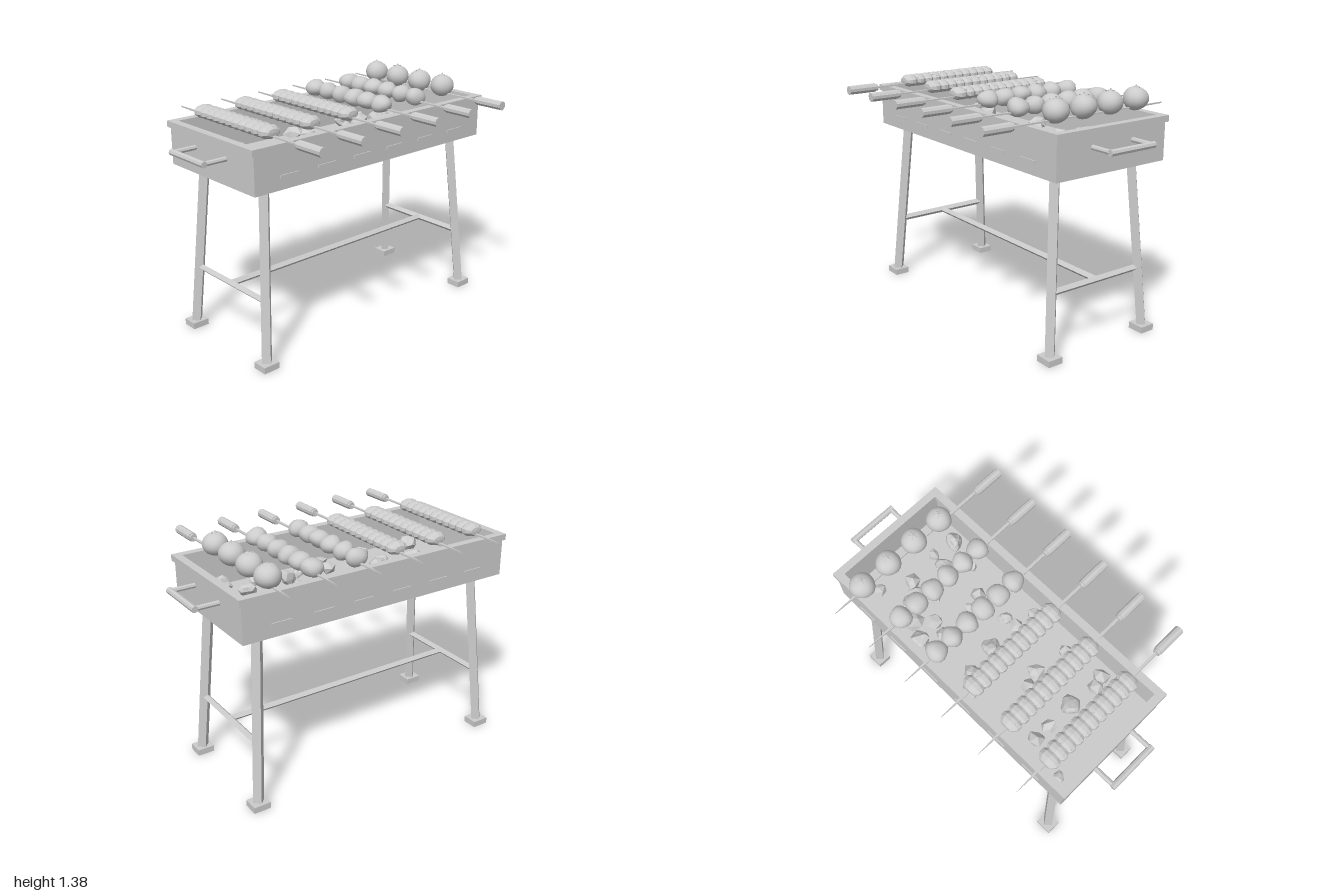
import * as THREE from 'three';
import { mergeVertices } from 'three/addons/utils/BufferGeometryUtils.js';

const smooth = new THREE.MeshStandardMaterial({ color: 0xcccccc });
const flat = new THREE.MeshStandardMaterial({ color: 0xcccccc, flatShading: true });
const thin = new THREE.MeshStandardMaterial({ color: 0xcccccc, flatShading: true, side: THREE.DoubleSide });
const ZC = -0.08; // depth of the grill's middle

let seed = 7;
const rnd = () => (seed = (seed * 16807) % 2147483647) / 2147483647;

function add(parent, name, geo, x, y, z, mat = flat) {
  const m = new THREE.Mesh(geo, mat);
  m.name = name;
  m.position.set(x, y, z);
  parent.add(m);
  return m;
}
const box = (p, name, w, h, d, x, y, z) => add(p, name, new THREE.BoxGeometry(w, h, d), x, y, z);

// straight bar with n sides between two points
function bar(parent, name, a, b, r, n) {
  const A = new THREE.Vector3(...a), B = new THREE.Vector3(...b);
  const m = add(parent, name, new THREE.CylinderGeometry(r, r, A.distanceTo(B), n), 0, 0, 0);
  m.position.copy(A).add(B).multiplyScalar(0.5);
  m.quaternion.setFromUnitVectors(new THREE.Vector3(0, 1, 0), B.sub(A).normalize());
  return m;
}

// unit ball pushed in and out by a wavy rule
function lump(detail, amount, phase) {
  let g = new THREE.IcosahedronGeometry(1, detail);
  g.deleteAttribute('normal');
  g.deleteAttribute('uv');
  g = mergeVertices(g);
  const p = g.attributes.position, v = new THREE.Vector3();
  for (let i = 0; i < p.count; i++) {
    v.fromBufferAttribute(p, i);
    const k = 1 + amount * Math.sin(3.1 * v.x + phase) * Math.cos(2.7 * v.y - 2 * phase)
      + amount * 0.7 * Math.sin(4.3 * v.z + 3 * phase);
    p.setXYZ(i, v.x * k, v.y * k, v.z * k);
  }
  g.computeVertexNormals();
  return g;
}

function makeTray() {
  const g = new THREE.Group();
  g.name = 'tray';
  box(g, 'trayFloor', 1.69, 0.02, 0.74, 0, 1.005, ZC);
  for (const s of [-1, 1]) {
    box(g, 'longWall', 1.69, 0.215, 0.02, 0, 1.1025, ZC + s * 0.36);
    box(g, 'endWall', 0.02, 0.215, 0.70, s * 0.835, 1.1025, ZC);
    // air vents along both long walls
    for (let i = 0; i < 6; i++) box(g, 'airVent', 0.12, 0.018, 0.012, (i - 2.5) * 0.25, 1.065, ZC + s * 0.37);
  }
  // rim frame
  const rim = new THREE.Shape([[-0.86, -0.38], [0.86, -0.38], [0.86, 0.38], [-0.86, 0.38]].map(c => new THREE.Vector2(...c)));
  rim.holes.push(new THREE.Path([[-0.815, -0.335], [-0.815, 0.335], [0.815, 0.335], [0.815, -0.335]].map(c => new THREE.Vector2(...c))));
  const r = add(g, 'rim', new THREE.ExtrudeGeometry(rim, { depth: 0.035, bevelEnabled: false }), 0, 1.205, ZC);
  r.rotation.x = -Math.PI / 2;
  return g;
}

function makeStand() {
  const g = new THREE.Group();
  g.name = 'stand';
  for (const s of [-1, 1]) {
    for (const t of [-1, 1]) {
      bar(g, 'leg', [s * 0.78, 0.02, ZC + t * 0.335], [s * 0.71, 1, ZC + t * 0.265], 0.034, 4);
      box(g, 'foot', 0.1, 0.036, 0.09, s * 0.78, 0.018, ZC + t * 0.335);
    }
    bar(g, 'sideBrace', [s * 0.753, 0.375, ZC - 0.3], [s * 0.753, 0.375, ZC + 0.3], 0.02, 4);
  }
  bar(g, 'longBrace', [-0.75, 0.375, ZC], [0.75, 0.375, ZC], 0.02, 4);
  return g;
}

function makeHandle(s) {
  const g = new THREE.Group();
  g.name = 'carryHandle';
  bar(g, 'grip', [s * 0.982, 1.14, ZC - 0.15], [s * 0.982, 1.14, ZC + 0.15], 0.018, 8);
  for (const t of [-1, 1]) bar(g, 'handleArm', [s * 0.84, 1.14, ZC + t * 0.137], [s * 0.982, 1.14, ZC + t * 0.137], 0.014, 8);
  return g;
}

// flat pointed rod with a wooden grip; local origin lies on the rod
function makeSkewer(x) {
  const g = new THREE.Group();
  g.name = 'skewer';
  g.position.set(x, 1.26, 0);
  const blade = new THREE.Shape([[-0.008, -0.44], [0.008, -0.44], [0.008, 0.44], [0, 0.605], [-0.008, 0.44]].map(c => new THREE.Vector2(...c)));
  const b = add(g, 'skewerBlade', new THREE.ExtrudeGeometry(blade, { depth: 0.008, bevelEnabled: false }), 0, -0.004, 0);
  b.rotation.x = -Math.PI / 2;
  bar(g, 'skewerGrip', [0, 0, 0.435], [0, 0, 0.605], 0.026, 10);
  bar(g, 'gripCollar', [0, 0, 0.42], [0, 0, 0.437], 0.021, 10);
  return g;
}

// ridged, flattened minced-meat roll
function addKebab(g) {
  const pts = [new THREE.Vector2(0, -0.325), new THREE.Vector2(0.035, -0.322)];
  const n = 11, step = 0.62 / n;
  for (let i = 0; i < n; i++) {
    const y = -0.31 + i * step;
    pts.push(new THREE.Vector2(0.05, y), new THREE.Vector2(0.062, y + step * 0.3), new THREE.Vector2(0.062, y + step * 0.7));
  }
  pts.push(new THREE.Vector2(0.05, 0.31), new THREE.Vector2(0.035, 0.322), new THREE.Vector2(0, 0.325));
  const m = add(g, 'kebab', new THREE.LatheGeometry(pts, 10), 0, 0.018, -0.09);
  m.rotation.x = Math.PI / 2;
  m.scale.z = 0.6;
  // herb flecks
  for (let i = 0; i < 24; i++) {
    const a = 0.3 + rnd() * 2.5;
    add(g, 'herbFleck', new THREE.TetrahedronGeometry(0.005), 0.059 * Math.cos(a), 0.018 + 0.035 * Math.sin(a), -0.09 + (rnd() - 0.5) * 0.6);
  }
}

function addMeat(g, phase) {
  for (let i = 0; i < 6; i++) {
    const m = add(g, 'meatChunk', lump(2, 0.07, i * 1.7 + phase), 0, 0.023, -0.38 + i * 0.112, smooth);
    m.scale.set(0.062, 0.05, 0.058);
    m.rotation.z = (rnd() - 0.5) * 0.5;
  }
}

function addTomatoes(g) {
  for (let i = 0; i < 4; i++) {
    const z = 0.15 - i * 0.185;
    const m = add(g, 'tomato', lump(3, 0.025, i * 2.1), 0, 0.045, z, smooth);
    m.scale.set(0.07, 0.064, 0.07);
    // star of leaves with a stalk
    for (let k = 0; k < 5; k++) {
      const leaf = new THREE.Group();
      leaf.name = 'leaf';
      leaf.position.set(0, 0.11, z);
      leaf.rotation.y = k * Math.PI * 0.4 + i;
      const blade = add(leaf, 'leafBlade', new THREE.ConeGeometry(0.008, 0.04, 4), 0.018, -0.003, 0, thin);
      blade.rotation.z = -Math.PI / 2 - 0.2;
      blade.scale.x = 0.5;
      g.add(leaf);
    }
    add(g, 'stalk', new THREE.CylinderGeometry(0.004, 0.005, 0.014, 6), 0, 0.112, z);
  }
}

function makeCoals() {
  const g = new THREE.Group();
  g.name = 'coals';
  const spots = [[-0.74, -0.36], [-0.52, -0.3], [-0.52, -0.2], [-0.52, -0.04], [-0.55, 0.13], [-0.53, 0.19], [-0.64, 0.15],
    [-0.29, -0.12], [-0.26, -0.03], [-0.34, 0.02], [-0.3, 0.16], [-0.02, -0.28], [0.01, -0.11], [0, 0.08], [-0.02, 0.2], [0.08, 0.07],
    [-0.08, -0.34], [0.25, -0.23], [0.32, -0.35], [0.34, -0.22], [0.28, 0.06], [0.26, -0.02], [0.42, -0.3], [0.47, -0.36],
    [0.5, -0.24], [0.52, -0.17], [0.44, -0.12], [0.54, 0.05], [0.6, -0.14], [0.64, 0.06], [0.62, 0.2], [0.44, 0.16], [0.7, -0.3], [0.18, 0.12]];
  spots.forEach(([x, z], i) => {
    const r = 0.03 + 0.022 * rnd();
    const m = add(g, 'coal', lump(i % 3 ? 0 : 1, 0.2, i * 1.3), x, 1.015 + r * 0.75, z);
    m.scale.set(r * 1.15, r * 0.85, r);
    m.rotation.set(rnd() * 0.6, rnd() * 6, rnd() * 0.6);
  });
  return g;
}

export function createModel() {
  seed = 7;
  const model = new THREE.Group();
  model.name = 'charcoalGrill';
  model.add(makeTray(), makeStand(), makeHandle(-1), makeHandle(1), makeCoals());
  for (let i = 0; i < 6; i++) {
    const s = makeSkewer((i - 2.5) * 0.268 - 0.003);
    if (i < 3) addKebab(s);
    else if (i < 5) addMeat(s, i);
    else addTomatoes(s);
    model.add(s);
  }
  return model;
}
